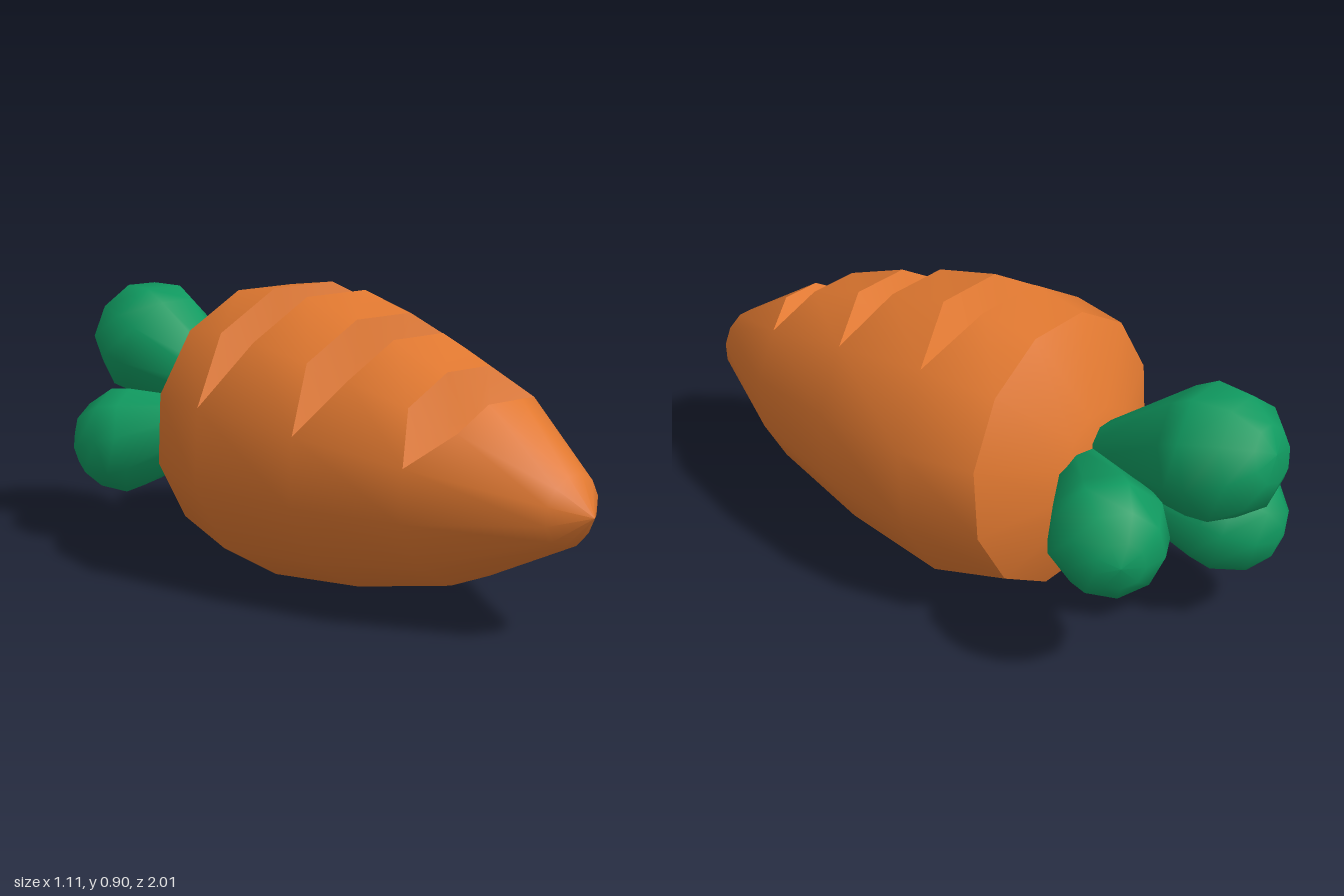
import * as THREE from 'three';
import { toCreasedNormals } from 'three/addons/utils/BufferGeometryUtils.js';

const SIDES = 12;
const STEP = (Math.PI * 2) / SIDES;

// root profile: [distance along the axis, radius]
const PROFILE = [[-0.145, 0], [-0.138, 0.17], [0, 0.42], [0.243, 0.471], [0.605, 0.412], [0.962, 0.311], [1.325, 0.108], [1.407, 0]];
const NOTCHES = [0.243, 0.605, 0.962];

function radiusAt(s) {
  let i = 1;
  while (i < PROFILE.length - 1 && PROFILE[i][0] < s) i++;
  const [s0, r0] = PROFILE[i - 1], [s1, r1] = PROFILE[i];
  return r0 + ((r1 - r0) * (s - s0)) / (s1 - s0);
}

// Twelve-sided root with three V-shaped cuts across its top
function rootGeometry() {
  const rows = [];
  const point = (r, angle, s) => new THREE.Vector3(r * Math.cos(angle), r * Math.sin(angle), s);
  const addRow = (rule) => rows.push(Array.from({ length: SIDES }, (_, j) => {
    const angle = (j + 0.5) * STEP;
    const off = (j - 3) * STEP; // angle from the middle of the cuts
    const [s, r] = rule(off, Math.abs(off) < STEP * 1.5);
    return point(r, angle, s);
  }));
  for (const [s, r] of PROFILE) {
    if (!NOTCHES.includes(s)) {
      addRow(() => [s, r]);
      continue;
    }
    // back lip, straight groove bottom, front lip
    addRow((off, cut) => (cut ? [s - 0.06, radiusAt(s - 0.06)] : [s, r]));
    addRow((off, cut) => [s, cut ? (r * 0.5) / Math.cos(off) : r]);
    addRow((off, cut) => (cut ? [s + 0.09, radiusAt(s + 0.09)] : [s, r]));
  }

  const positions = [];
  const tri = (a, b, c) => {
    const area = b.clone().sub(a).cross(c.clone().sub(a)).length();
    if (area > 1e-6) for (const p of [a, b, c]) positions.push(p.x, p.y, p.z);
  };
  for (let i = 0; i < rows.length - 1; i++) {
    for (let j = 0; j < SIDES; j++) {
      const k = (j + 1) % SIDES;
      tri(rows[i][j], rows[i][k], rows[i + 1][k]);
      tri(rows[i][j], rows[i + 1][k], rows[i + 1][j]);
    }
  }
  const geometry = new THREE.BufferGeometry();
  geometry.setAttribute('position', new THREE.Float32BufferAttribute(positions, 3));
  return toCreasedNormals(geometry, 0.8);
}

// Teardrop leaf from a base point to the centre of its round end
function makeLeaf(name, base, bulb, radius, material) {
  const from = new THREE.Vector3(...base);
  const dir = new THREE.Vector3(...bulb).sub(from);
  const length = dir.length();
  const profile = [
    [0, -0.03], [0.065, 0], [radius * 0.93, length - radius * 0.35], [radius, length + radius * 0.05],
    [radius * 0.8, length + radius * 0.62], [radius * 0.42, length + radius * 0.93], [0, length + radius],
  ].map(([x, y]) => new THREE.Vector2(x, y));
  const leaf = new THREE.Mesh(new THREE.LatheGeometry(profile, 9), material);
  leaf.name = name;
  leaf.position.copy(from);
  leaf.quaternion.setFromUnitVectors(new THREE.Vector3(0, 1, 0), dir.normalize());
  return leaf;
}

export function createModel() {
  const orange = new THREE.MeshStandardMaterial({ color: 0xe07830 });
  orange.name = 'carrot orange';
  const green = new THREE.MeshStandardMaterial({ color: 0x109a60 });
  green.name = 'leaf green';

  const model = new THREE.Group();
  model.name = 'carrot';

  const root = new THREE.Mesh(rootGeometry(), orange);
  root.name = 'root';
  root.position.set(-0.05, 0.469, -0.33);
  root.rotation.set(0.062, 0.333, 0, 'YXZ');
  model.add(root);

  // Leaves fan out from the back of the root
  const leaves = new THREE.Group();
  leaves.name = 'leaves';
  leaves.add(
    makeLeaf('upperLeaf', [-0.11, 0.51, -0.43], [-0.245, 0.645, -0.81], 0.2, green),
    makeLeaf('leftLeaf', [-0.05, 0.47, -0.43], [0.1, 0.475, -0.785], 0.175, green),
    makeLeaf('rightLeaf', [-0.14, 0.43, -0.42], [-0.385, 0.335, -0.7], 0.175, green),
  );
  model.add(leaves);
  return model;
}
